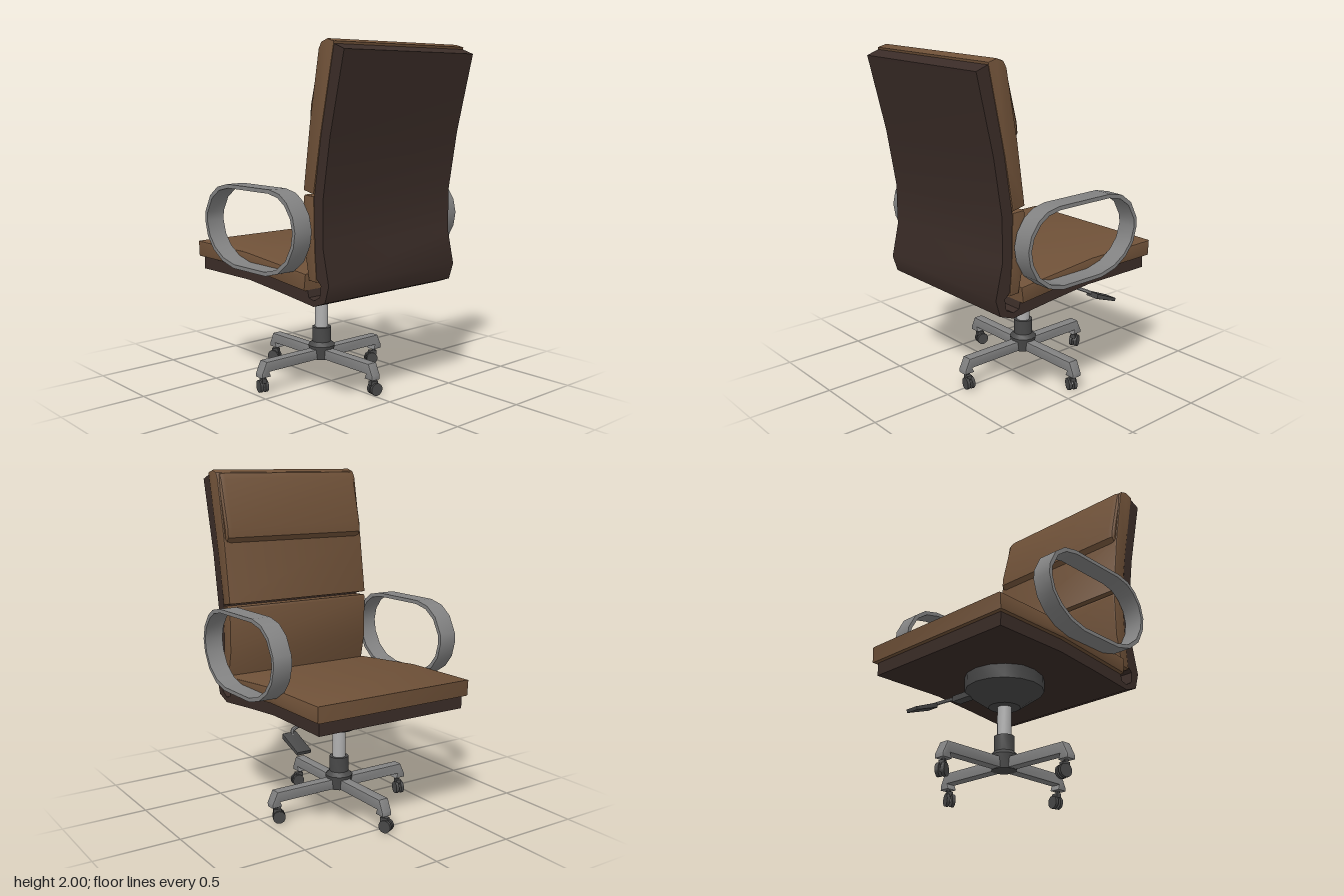
import * as THREE from 'three';
import { toCreasedNormals } from 'three/addons/utils/BufferGeometryUtils.js';

const mat = (color) => new THREE.MeshStandardMaterial({ color });
const leather = mat(0x6f5138), shellMat = mat(0x3a2c27), steel = mat(0x828282);
const dark = mat(0x484848), chrome = mat(0xb0b0b0);

function add(parent, name, geometry, material, pos = [0, 0, 0]) {
  const mesh = new THREE.Mesh(toCreasedNormals(geometry, 0.55), material);
  mesh.name = name;
  mesh.position.set(...pos);
  parent.add(mesh);
  return mesh;
}

const outline = (pts) => pts.map(([x, y]) => new THREE.Vector2(x, y));

// Side profile (x, y) extruded symmetrically across z, with an optional chamfer inside the outline
function slab(shape, width, bevel = 0, depthBevel = bevel) {
  const g = new THREE.ExtrudeGeometry(shape, {
    depth: width - 2 * depthBevel, bevelEnabled: bevel > 0, bevelSize: bevel,
    bevelThickness: depthBevel, bevelOffset: -bevel, bevelSegments: 2, steps: 1,
  });
  return g.translate(0, 0, -width / 2 + depthBevel);
}
const profile = (pts) => new THREE.Shape(outline(pts));

// Swivel wheel under the end of a base leg
function caster(x, z, trail) {
  const c = new THREE.Group();
  c.name = 'caster';
  c.position.set(x, 0, z);
  c.rotation.y = trail;
  add(c, 'casterStem', new THREE.CylinderGeometry(0.012, 0.012, 0.05, 8), dark, [0, 0.09, 0]);
  add(c, 'casterFork', new THREE.BoxGeometry(0.045, 0.025, 0.03), dark, [0.01, 0.073, 0]);
  for (const s of [-1, 1]) {
    add(c, 'casterWheel', new THREE.CylinderGeometry(0.037, 0.037, 0.018, 14).rotateX(Math.PI / 2),
      dark, [0.02, 0.037, s * 0.016]);
  }
  add(c, 'casterAxle', new THREE.CylinderGeometry(0.012, 0.012, 0.04, 8).rotateX(Math.PI / 2),
    chrome, [0.02, 0.037, 0]);
  return c;
}

export function createModel() {
  const chair = new THREE.Group();
  chair.name = 'officeChair';

  // Bent shell carrying the seat and back
  add(chair, 'shell', slab(profile([
    [-0.62, 0.665], [-0.16, 0.667], [0.12, 0.642], [0.41, 0.612], [0.5, 0.645], [0.53, 0.74],
    [0.485, 0.935], [0.485, 1.18], [0.54, 1.51], [0.645, 1.945], [0.565, 1.975],
    [0.47, 1.51], [0.415, 1.18], [0.42, 0.935], [0.435, 0.765], [0.468, 0.735], [0.458, 0.67],
    [0.41, 0.645], [0.37, 0.655], [0.36, 0.695], [-0.16, 0.745], [-0.62, 0.745],
  ]), 0.97), shellMat);

  // Seat and back cushions
  add(chair, 'seatCushion', slab(profile([
    [-0.645, 0.742], [-0.16, 0.74], [0.36, 0.692], [0.372, 0.785], [-0.16, 0.832], [-0.65, 0.835],
  ]), 1.02, 0.008), leather);
  add(chair, 'lowerBackCushion', slab(profile([
    [0.375, 0.748], [0.437, 0.745], [0.422, 0.935], [0.417, 1.2], [0.34, 1.203],
    [0.333, 1.19], [0.335, 0.935],
  ]), 0.98, 0.008), leather);
  add(chair, 'upperBackCushion', slab(profile([
    [0.333, 1.225], [0.415, 1.208], [0.47, 1.51], [0.575, 1.985], [0.52, 2.0],
    [0.475, 1.985], [0.455, 1.95], [0.385, 1.58],
  ]), 0.98, 0.008), leather);
  add(chair, 'headPillow', slab(profile([
    [0.388, 1.575], [0.364, 1.61], [0.37, 1.67], [0.441, 1.945], [0.462, 1.98],
    [0.52, 1.995], [0.54, 1.96], [0.45, 1.58],
  ]), 0.96, 0.018, 0.035), leather);

  // Loop armrests: a flat band around a rounded outline
  const loop = [
    [0.21, 1.227], [-0.175, 1.227], [-0.27, 1.205], [-0.345, 1.15], [-0.395, 1.055], [-0.4, 1.0],
    [-0.375, 0.91], [-0.32, 0.84], [-0.235, 0.785], [-0.125, 0.757], [0.17, 0.757],
    [0.275, 0.785], [0.36, 0.85], [0.41, 0.94], [0.424, 1.02], [0.405, 1.1], [0.355, 1.17], [0.295, 1.21],
  ];
  const band = profile(loop);
  band.holes.push(new THREE.Path(outline(loop.map(([x, y]) =>
    [0.012 + (x - 0.012) * 0.947, 0.992 + (y - 0.992) * 0.907]))));
  for (const [side, s] of [['left', 1], ['right', -1]]) {
    add(chair, side + 'Armrest', slab(band, 0.112), steel, [0, 0, s * 0.565]);
  }

  // Everything under the seat turns about the column axis
  const under = new THREE.Group();
  under.name = 'swivelBase';
  under.position.x = -0.09;
  chair.add(under);

  const turned = (pts, sides) => new THREE.LatheGeometry(outline(pts), sides);
  add(under, 'tiltHousing', turned([[0, 0.492], [0.09, 0.492], [0.225, 0.588], [0.23, 0.68], [0, 0.68]], 16), dark);
  add(under, 'gasColumn', new THREE.CylinderGeometry(0.04, 0.04, 0.2, 16), chrome, [0, 0.4, 0]);
  add(under, 'hub', turned([[0, 0.128], [0.07, 0.128], [0.082, 0.21], [0.058, 0.233],
    [0.058, 0.322], [0, 0.322]], 12), dark);

  // Four legs with drooping tips, each on a caster
  const legShape = profile([[0.03, 0.13], [0.425, 0.13], [0.413, 0.1], [0.478, 0.1],
    [0.478, 0.122], [0.445, 0.192], [0.03, 0.192]]);
  const trails = [1.4, 2.9, 3.6, 4.3];
  for (let i = 0; i < 4; i++) {
    const a = i * Math.PI / 2;
    const leg = add(under, 'baseLeg', slab(legShape, 0.064, 0.006), steel);
    leg.rotation.y = -a;
    under.add(caster(0.443 * Math.cos(a), 0.443 * Math.sin(a), trails[i]));
  }

  // Height lever on the right side
  const lever = new THREE.Group();
  lever.name = 'heightLever';
  chair.add(lever);
  add(lever, 'leverSocket', new THREE.BoxGeometry(0.06, 0.035, 0.14), dark, [-0.19, 0.585, -0.22]);
  const rod = new THREE.CatmullRomCurve3([[-0.19, 0.59, -0.25], [-0.2, 0.595, -0.34],
    [-0.23, 0.583, -0.41], [-0.28, 0.555, -0.435]].map((p) => new THREE.Vector3(...p)));
  add(lever, 'leverRod', new THREE.TubeGeometry(rod, 10, 0.011, 8), steel);
  const grip = add(lever, 'leverGrip', slab(profile([[-0.085, -0.012], [0.08, -0.016],
    [0.085, 0.014], [-0.085, 0.008]]), 0.09, 0.005), dark, [-0.32, 0.54, -0.437]);
  grip.rotation.z = 0.36;

  return chair;
}
